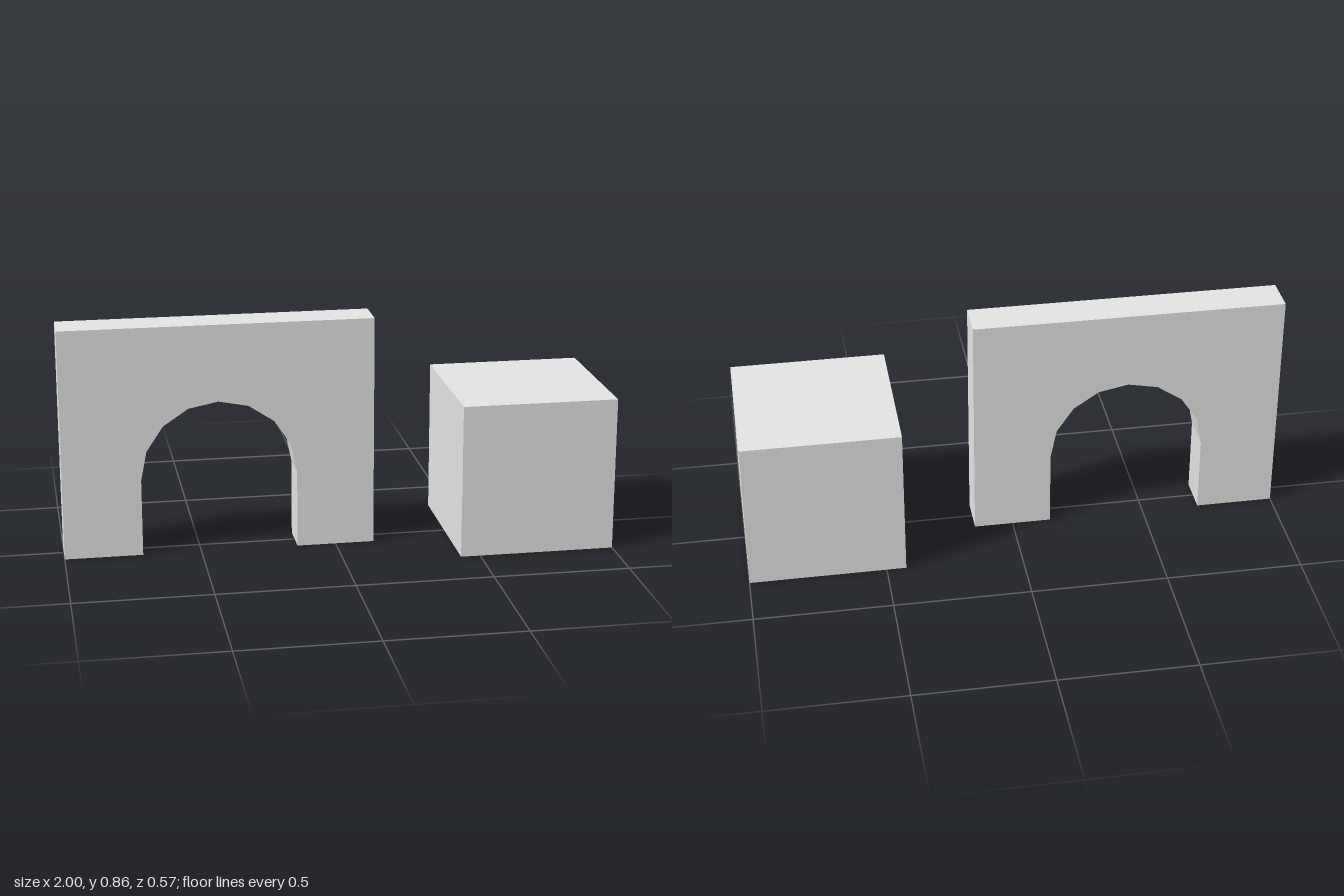
import * as THREE from 'three';

// Opens the underside: keeps only triangles that rise above the ground
function openBase(geometry) {
  const source = geometry.index ? geometry.toNonIndexed() : geometry;
  const p = source.attributes.position;
  const kept = [];
  for (let i = 0; i < p.count; i += 3) {
    if (Math.max(p.getY(i), p.getY(i + 1), p.getY(i + 2)) < 1e-4) continue;
    for (let k = i; k < i + 3; k++) kept.push(p.getX(k), p.getY(k), p.getZ(k));
  }
  const open = new THREE.BufferGeometry();
  open.setAttribute('position', new THREE.Float32BufferAttribute(kept, 3));
  open.computeVertexNormals();
  return open;
}

export function createModel() {
  const group = new THREE.Group();
  const U = 2 / 7; // block module
  const grey = new THREE.MeshStandardMaterial({ color: 0xe3e3e3, side: THREE.DoubleSide });
  grey.name = 'paleGrey';

  // Wall outline with an arched doorway (eight facets)
  const outline = new THREE.Shape();
  outline.moveTo(-2 * U, 0);
  outline.lineTo(-U, 0);
  const facets = 8;
  for (let i = 0; i <= facets; i++) {
    const a = Math.PI * (1 - i / facets);
    outline.lineTo(U * Math.cos(a), U + U * Math.sin(a));
  }
  outline.lineTo(U, 0);
  outline.lineTo(2 * U, 0);
  outline.lineTo(2 * U, 3 * U);
  outline.lineTo(-2 * U, 3 * U);
  outline.closePath();

  // Arched wall, hollow and open underneath
  const wallGeometry = new THREE.ExtrudeGeometry(outline, { depth: U / 2, bevelEnabled: false });
  wallGeometry.translate(0, 0, -U / 4);
  const wall = new THREE.Mesh(openBase(wallGeometry), grey);
  wall.name = 'archedWall';
  wall.position.x = -1 + 2 * U;
  group.add(wall);

  // Free-standing cube, hollow and open underneath
  const blockGeometry = new THREE.BoxGeometry(2 * U, 2 * U, 2 * U);
  blockGeometry.translate(0, U, 0);
  const block = new THREE.Mesh(openBase(blockGeometry), grey);
  block.name = 'cubeBlock';
  block.position.x = 1 - U;
  group.add(block);

  return group;
}
